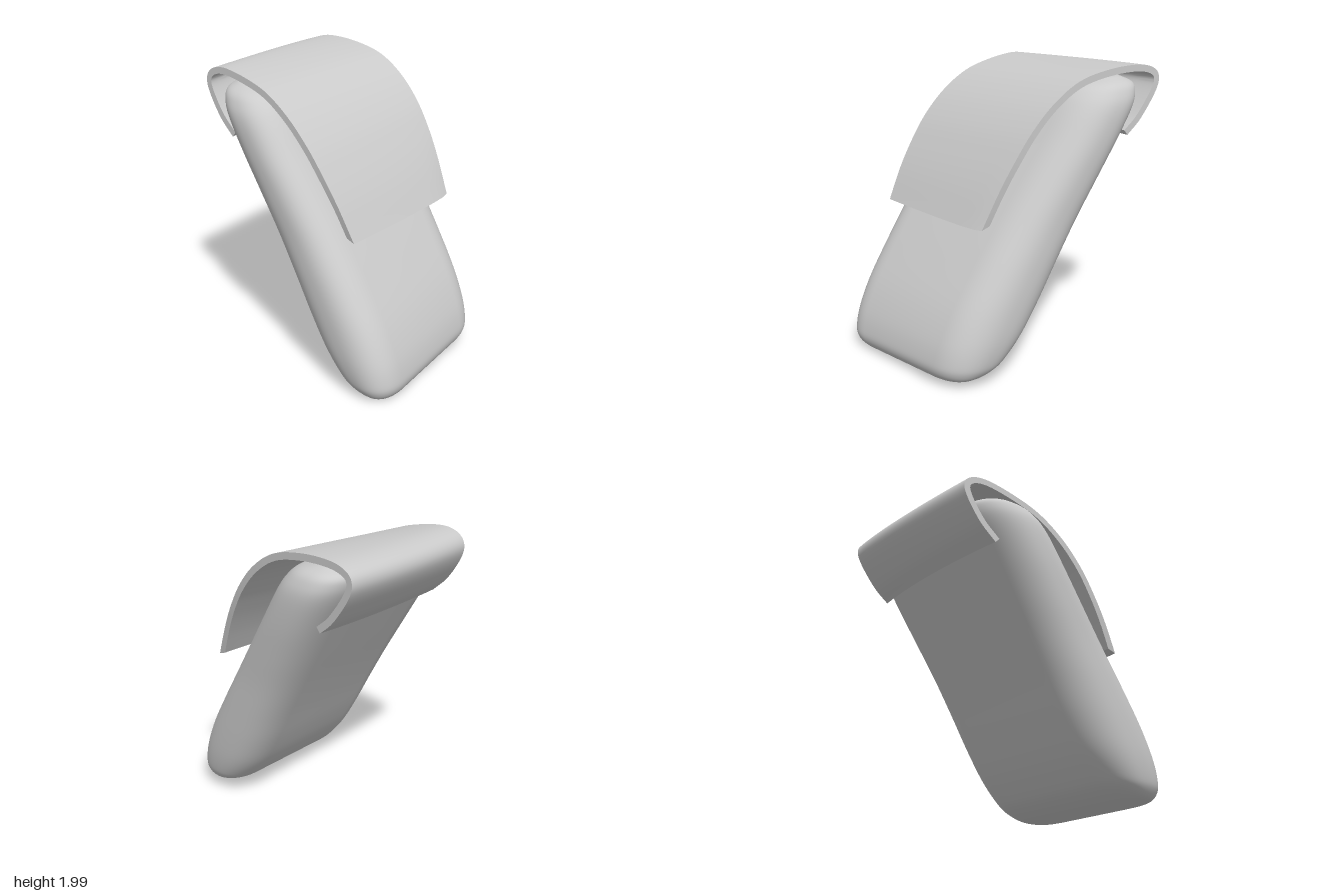
import * as THREE from 'three';
import { toCreasedNormals } from 'three/addons/utils/BufferGeometryUtils.js';

const material = new THREE.MeshStandardMaterial({ color: 0xcccccc });

// Skins a row of closed rings and closes both ends with strips of quads.
function loft(rings, creaseAngle) {
  const n = rings[0].length;
  const index = [];
  const quad = (a, b, c, d) => index.push(a, b, c, a, c, d);
  for (let i = 0; i < rings.length - 1; i++) {
    for (let j = 0; j < n; j++) {
      const k = (j + 1) % n;
      quad(i * n + j, (i + 1) * n + j, (i + 1) * n + k, i * n + k);
    }
  }
  const last = (rings.length - 1) * n;
  for (let j = 0; j < n / 2 - 1; j++) {
    quad(j, j + 1, n - 2 - j, n - 1 - j);
    quad(last + j, last + n - 1 - j, last + n - 2 - j, last + j + 1);
  }
  const geometry = new THREE.BufferGeometry();
  geometry.setAttribute('position', new THREE.Float32BufferAttribute(rings.flat(2), 3));
  geometry.setIndex(index);
  return toCreasedNormals(geometry, creaseAngle);
}

const spline = (points) =>
  new THREE.CatmullRomCurve3(points.map(([x, y, z = 0]) => new THREE.Vector3(x, y, z)), false, 'catmullrom', 0.5);

// Leaning padded body: level slices given as [height, left x, right x, half depth]
function createBody() {
  const slices = [
    [0.02, 0.62, 0.76, 0.45], [0.04, 0.53, 0.805, 0.54], [0.09, 0.42, 0.835, 0.59],
    [0.16, 0.34, 0.835, 0.615], [0.3, 0.225, 0.795, 0.635], [0.5, 0.1, 0.7, 0.645],
    [0.75, -0.04, 0.545, 0.65], [1, -0.185, 0.38, 0.655], [1.25, -0.335, 0.21, 0.67],
    [1.5, -0.485, 0.04, 0.685], [1.7, -0.605, -0.09, 0.685], [1.8, -0.65, -0.165, 0.66],
    [1.86, -0.65, -0.24, 0.615], [1.9, -0.59, -0.37, 0.52],
  ];
  const edges = spline(slices.map(([y, l, r]) => [l, y, r]));
  const depths = spline(slices.map((s) => [s[3], 0]));
  const power = (v) => Math.sign(v) * Math.abs(v) ** (2 / 2.4);
  const rows = 65, sides = 72;
  const rings = [];
  for (let i = 0; i <= rows; i++) {
    const { x: left, y, z: right } = edges.getPoint(i / rows);
    const depth = depths.getPoint(i / rows).x;
    const round = 0.42 * depth;
    const ring = [];
    for (let j = 0; j < sides; j++) {
      const a = ((j + 0.5) / sides) * Math.PI * 2;
      // flat broad faces, rounded narrow sides
      const z = Math.sign(Math.sin(a)) * (depth - round) + power(Math.sin(a)) * round;
      // the body is slightly turned, so it drifts with depth
      const x = (left + right) / 2 + (power(Math.cos(a)) * (right - left)) / 2 + 0.155 * z;
      ring.push([x, y - 0.04 * z, z]);
    }
    rings.push(ring);
  }
  return loft(rings, 1.2);
}

// Curved flap hooked over the top: a front and a back profile blended across the depth
function createFlap() {
  const front = spline([
    [-0.46, 1.51], [-0.58, 1.62], [-0.68, 1.77], [-0.705, 1.87], [-0.65, 1.94],
    [-0.52, 1.965], [-0.3, 1.93], [-0.1, 1.865], [0.09, 1.74], [0.25, 1.58],
    [0.37, 1.415], [0.48, 1.235], [0.585, 1.025],
  ]);
  const back = spline([
    [-0.62, 1.535], [-0.73, 1.63], [-0.85, 1.79], [-0.885, 1.89], [-0.84, 1.96],
    [-0.7, 1.995], [-0.45, 1.985], [-0.2, 1.93], [0, 1.81], [0.16, 1.65],
    [0.285, 1.47], [0.39, 1.285], [0.5, 1.055],
  ]);
  const rows = 16, steps = 72, thickness = 0.045;
  const rings = [];
  for (let i = 0; i <= rows; i++) {
    const t = i / rows;
    const outer = [];
    const inner = [];
    for (let j = 0; j <= steps; j++) {
      const s = j / steps;
      const blend = t ** THREE.MathUtils.lerp(1.7, 0.6, s);
      const p = back.getPoint(s).lerp(front.getPoint(s), blend);
      const d = back.getTangent(s).lerp(front.getTangent(s), blend).normalize();
      // the hanging end narrows, and its lining stops short of the lip
      const taper = 1 - 0.12 * Math.max(0, (s - 0.6) / 0.4) ** 2;
      const short = 0.045 * Math.max(0, (s - 0.8) / 0.2);
      const z = THREE.MathUtils.lerp(-0.6, 0.575, t) * taper;
      outer.push([p.x, p.y, z]);
      inner.unshift([p.x + d.y * thickness - d.x * short, p.y - d.x * thickness - d.y * short, z]);
    }
    rings.push([...outer, ...inner]);
  }
  return loft(rings, 0.7);
}

export function createModel() {
  const group = new THREE.Group();
  group.name = 'pouch';
  for (const [name, geometry] of [['body', createBody()], ['flap', createFlap()]]) {
    const mesh = new THREE.Mesh(geometry, material);
    mesh.name = name;
    group.add(mesh);
  }
  return group;
}
